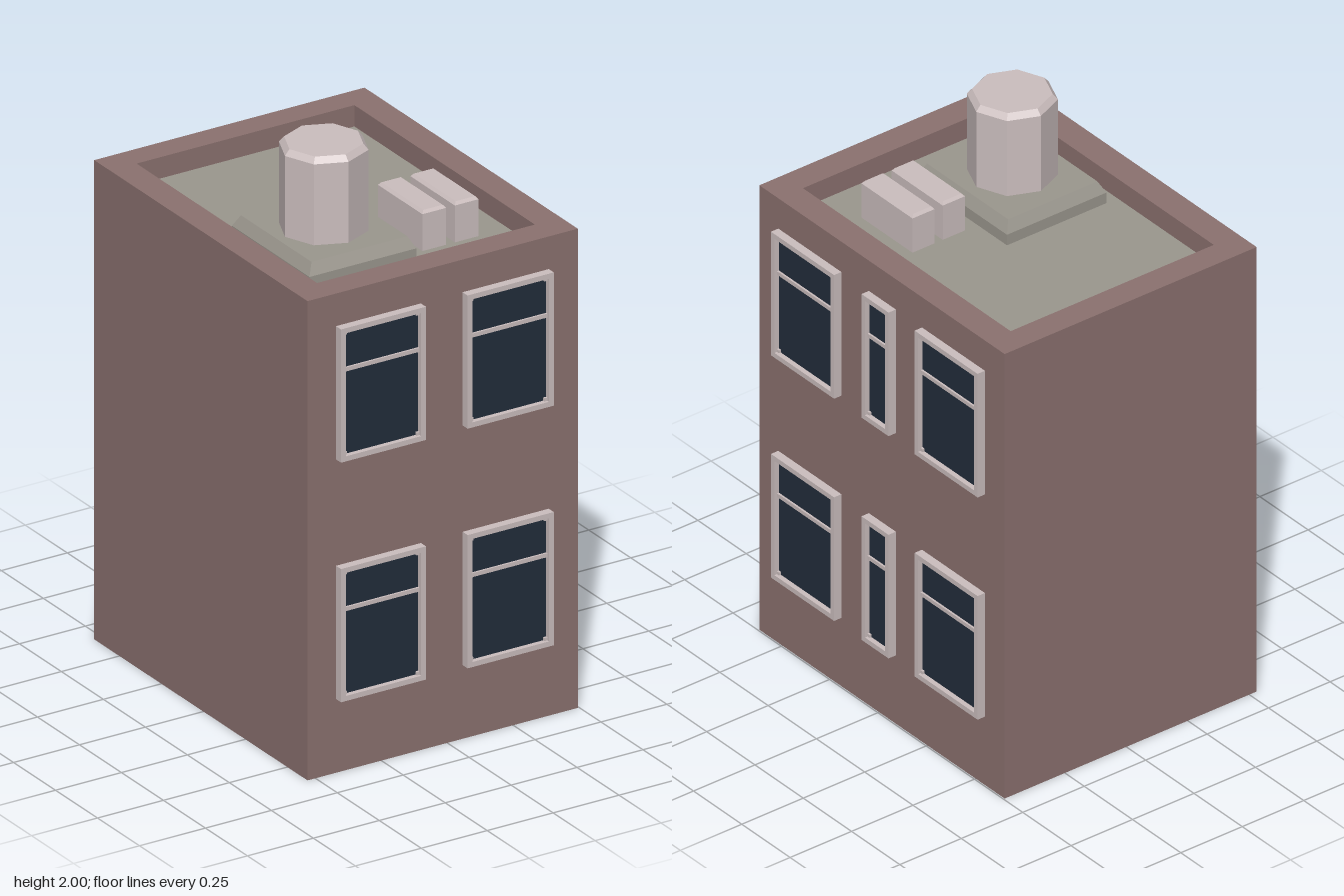
import * as THREE from 'three';

const mat = (name, color) => {
  const m = new THREE.MeshStandardMaterial({ color, flatShading: true });
  m.name = name;
  return m;
};

// Rectangle path, used for outlines and holes
function rect(path, x0, y0, x1, y1) {
  path.moveTo(x0, y0);
  path.lineTo(x1, y0);
  path.lineTo(x1, y1);
  path.lineTo(x0, y1);
  path.closePath();
  return path;
}

// Flat ring between two rectangles, extruded towards +z
function ringGeometry(outer, inner, depth) {
  const shape = rect(new THREE.Shape(), ...outer);
  shape.holes.push(rect(new THREE.Path(), ...inner));
  return new THREE.ExtrudeGeometry(shape, { depth, bevelEnabled: false });
}

// Box standing on y = 0 whose upper part is inset on all sides from height "shoulder"
function taperedBox(w, h, d, inset, shoulder) {
  const g = new THREE.BoxGeometry(w, h, d, 1, 2, 1);
  const p = g.attributes.position;
  for (let i = 0; i < p.count; i++) {
    const y = p.getY(i);
    if (y > h / 4) {
      p.setX(i, p.getX(i) - Math.sign(p.getX(i)) * inset);
      p.setZ(i, p.getZ(i) - Math.sign(p.getZ(i)) * inset);
      p.setY(i, h);
    } else {
      p.setY(i, y < -h / 4 ? 0 : shoulder);
    }
  }
  g.computeVertexNormals();
  return g;
}

export function createModel() {
  const model = new THREE.Group();
  const wall = mat('wall', 0x8b716f);
  const roof = mat('roof', 0x9b978e);
  const trim = mat('trim', 0xcbbebe);
  const glass = mat('glass', 0x222d3b);

  const add = (parent, name, geometry, material, x = 0, y = 0, z = 0) => {
    const mesh = new THREE.Mesh(geometry, material);
    mesh.name = name;
    mesh.position.set(x, y, z);
    parent.add(mesh);
    return mesh;
  };

  const X0 = -0.53, X1 = 0.495, Z0 = -0.65, Z1 = 0.62, ROOF = 1.615, TOP = 1.69;

  // Body with the roof deck as its top face
  add(model, 'body', new THREE.BoxGeometry(X1 - X0, ROOF, Z1 - Z0),
    [wall, wall, roof, wall, wall, wall], (X0 + X1) / 2, ROOF / 2, (Z0 + Z1) / 2);

  // Parapet around the roof
  const parapet = ringGeometry([X0, -Z1, X1, -Z0], [-0.43, -0.52, 0.396, 0.555], TOP - ROOF);
  parapet.rotateX(-Math.PI / 2);
  add(model, 'parapet', parapet, wall, 0, ROOF, 0);

  // Window facing +z, its back on z = 0, centred on x and y
  function makeWindow(w, h) {
    const group = new THREE.Group();
    group.name = 'window';
    const t = 0.018, depth = 0.03, a = w / 2, b = h / 2;
    add(group, 'windowFrame',
      ringGeometry([-a, -b, a, b], [-a + t, -b + t, a - t, b - t], depth), trim);
    add(group, 'windowPane', new THREE.BoxGeometry(w - t, h - t, 0.008), glass, 0, 0, 0.008);
    const barY = b - 0.152;
    add(group, 'transom', new THREE.BoxGeometry(w - t, 0.014, 0.014), trim, 0, barY, 0.012);
    // Small blocks in the frame corners and at the transom ends
    for (const sx of [-1, 1])
      for (const y of [-b + t + 0.004, barY, b - t - 0.004])
        add(group, 'frameBlock', new THREE.BoxGeometry(0.014, 0.014, 0.012), trim,
          sx * (a - t - 0.004), y, 0.014);
    return group;
  }

  // Two storeys of windows on the front and on the left side
  for (const y of [0.495, 1.34]) {
    for (const [x0, x1] of [[-0.422, -0.1], [0.058, 0.385]]) {
      const win = makeWindow(x1 - x0, 0.47);
      win.position.set((x0 + x1) / 2, y, Z1);
      model.add(win);
    }
    for (const [z0, z1] of [[-0.548, -0.222], [-0.087, 0.053], [0.195, 0.522]]) {
      const win = makeWindow(z1 - z0, 0.47);
      win.rotation.y = Math.PI / 2;
      win.position.set(X1, y, (z0 + z1) / 2);
      model.add(win);
    }
  }

  // Sloped plinth carrying the tank
  add(model, 'tankPlinth', taperedBox(0.405, 0.08, 0.462, 0.021, 0.04), roof, -0.183, ROOF, 0.174);

  // Octagonal tank with a chamfered rim
  const tank = new THREE.Group();
  tank.name = 'tank';
  tank.position.set(-0.187, 0, 0.178);
  add(tank, 'tankBody', new THREE.CylinderGeometry(0.147, 0.147, 0.29, 8, 1, true), trim, 0, 1.835, 0);
  add(tank, 'tankRim', new THREE.CylinderGeometry(0.13, 0.147, 0.02, 8), trim, 0, 1.99, 0);
  model.add(tank);

  // Pair of roof vents
  for (const x of [0.116, 0.239])
    add(model, 'roofVent', taperedBox(0.09, 0.14, 0.265, 0.008, 0.13), trim, x, ROOF, 0.228);

  return model;
}
